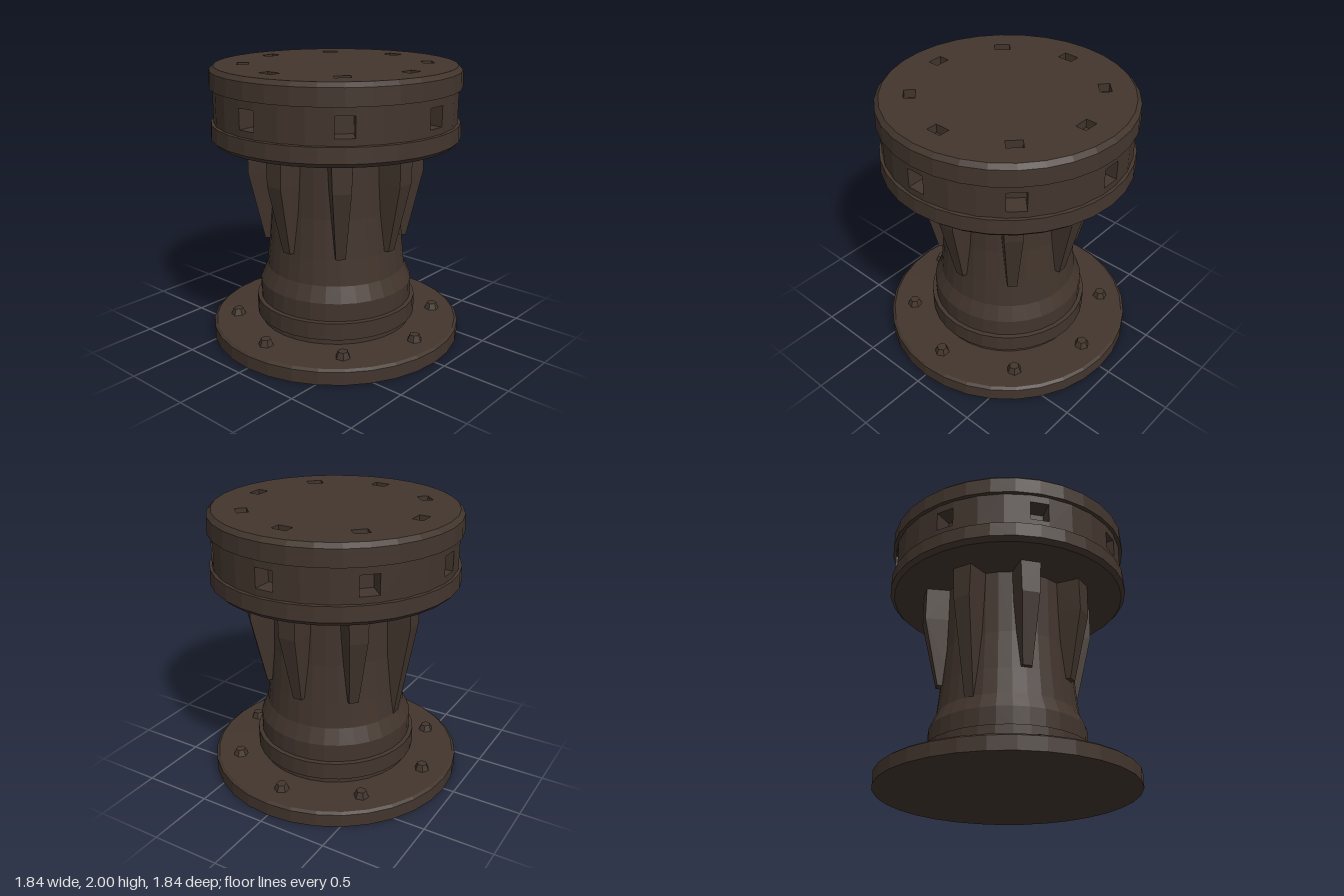
import * as THREE from 'three';
import { ConvexGeometry } from 'three/addons/geometries/ConvexGeometry.js';

const SIDES = 32;
const COUNT = 8;

export function createModel() {
  const model = new THREE.Group();
  const darkIron = new THREE.MeshStandardMaterial({ color: 0x42352d, flatShading: true, side: THREE.DoubleSide });
  darkIron.name = 'darkIron';

  const add = (name, geometry, parent = model) => {
    const mesh = new THREE.Mesh(geometry, darkIron);
    mesh.name = name;
    parent.add(mesh);
    return mesh;
  };
  const lathe = (name, points) =>
    add(name, new THREE.LatheGeometry(points.map(([r, y]) => new THREE.Vector2(r, y)), SIDES));
  // Repeats a part evenly around the vertical axis; angle 0 faces the front
  const around = (name, build) => {
    for (let i = 0; i < COUNT; i++) {
      const holder = new THREE.Group();
      holder.name = name;
      holder.rotation.y = (i * Math.PI * 2) / COUNT;
      model.add(holder);
      build(holder, i);
    }
  };

  // Floor flange
  lathe('baseFlange', [[0, 0], [0.92, 0], [0.92, 0.095], [0.9, 0.11], [0, 0.12]]);

  // Collar and waisted barrel
  lathe('collar', [[0.56, 0.11], [0.56, 0.155], [0.59, 0.16], [0.59, 0.285], [0.55, 0.29]]);
  lathe('barrel', [[0.56, 0.28], [0.56, 0.42], [0.51, 0.53], [0.49, 0.72], [0.47, 1.0], [0.47, 1.48]]);

  // Flange bolts
  around('flangeBolt', (holder) => {
    const bolt = add('boltHead', new THREE.CylinderGeometry(0.036, 0.056, 0.05, 6), holder);
    bolt.position.set(0, 0.133, 0.74);
  });

  // Tapered ribs; the rear one reaches further down
  around('rib', (holder, i) => {
    const foot = i === 4 ? 0.5 : 0.73;
    const sections = [[1.48, 0.63, 0.095], [1.23, 0.63, 0.085], [foot, foot < 0.6 ? 0.505 : 0.52, 0.045]];
    const points = [];
    for (const [y, r, w] of sections) {
      for (const s of [-1, 1]) {
        points.push(new THREE.Vector3(s * w, y, 0.4), new THREE.Vector3(s * w * 0.75, y, r));
      }
    }
    add('ribBody', new ConvexGeometry(points), holder);
  });

  // Head rims
  lathe('lowerRim', [[0, 1.47], [0.855, 1.47], [0.885, 1.5], [0.88, 1.605], [0.84, 1.612]]);
  lathe('upperRim', [[0.84, 1.848], [0.885, 1.852], [0.88, 1.97], [0.85, 2]]);

  // Head band, split around the bar sockets
  const bandR = 0.86, half = 0.076, step = (Math.PI * 2) / COUNT;
  const bandPiece = (name, y0, y1, start, length, segments, holder) => {
    const piece = add(name, new THREE.CylinderGeometry(bandR, bandR, y1 - y0, segments, 1, true, start, length), holder);
    piece.position.y = (y0 + y1) / 2;
  };
  around('headBand', (holder) => {
    bandPiece('bandPanel', 1.605, 1.855, half, step - 2 * half, 3, holder);
    bandPiece('bandBelowSocket', 1.605, 1.655, -half, 2 * half, 1, holder);
    bandPiece('bandAboveSocket', 1.795, 1.855, -half, 2 * half, 1, holder);
    // Recessed socket, open at the front
    const box = new THREE.BoxGeometry(2 * bandR * Math.sin(half), 0.14, 0.14);
    const open = box.groups[4];
    const index = Array.from(box.index.array);
    index.splice(open.start, open.count);
    box.setIndex(index);
    box.clearGroups();
    const socket = add('barSocket', box, holder);
    socket.position.set(0, 1.725, bandR * Math.cos(half) - 0.07);
  });

  // Top plate with shallow rectangular slots
  const plate = new THREE.Shape();
  for (let i = 0; i < SIDES; i++) {
    const a = (i / SIDES) * Math.PI * 2;
    plate[i ? 'lineTo' : 'moveTo'](0.85 * Math.cos(a), 0.85 * Math.sin(a));
  }
  plate.closePath();
  for (let i = 0; i < COUNT; i++) {
    const a = i * step, c = Math.cos(a), s = Math.sin(a);
    const corners = [[-0.04, -0.055], [-0.04, 0.055], [0.04, 0.055], [0.04, -0.055]];
    plate.holes.push(new THREE.Path(corners.map(([r, t]) =>
      new THREE.Vector2((0.645 + r) * c - t * s, (0.645 + r) * s + t * c))));
  }
  const top = add('topPlate', new THREE.ExtrudeGeometry(plate, { depth: 0.06, bevelEnabled: false }));
  top.rotation.x = -Math.PI / 2;
  top.position.y = 1.94;
  const floor = add('slotFloor', new THREE.CircleGeometry(0.84, SIDES));
  floor.rotation.x = -Math.PI / 2;
  floor.position.y = 1.935;

  return model;
}
